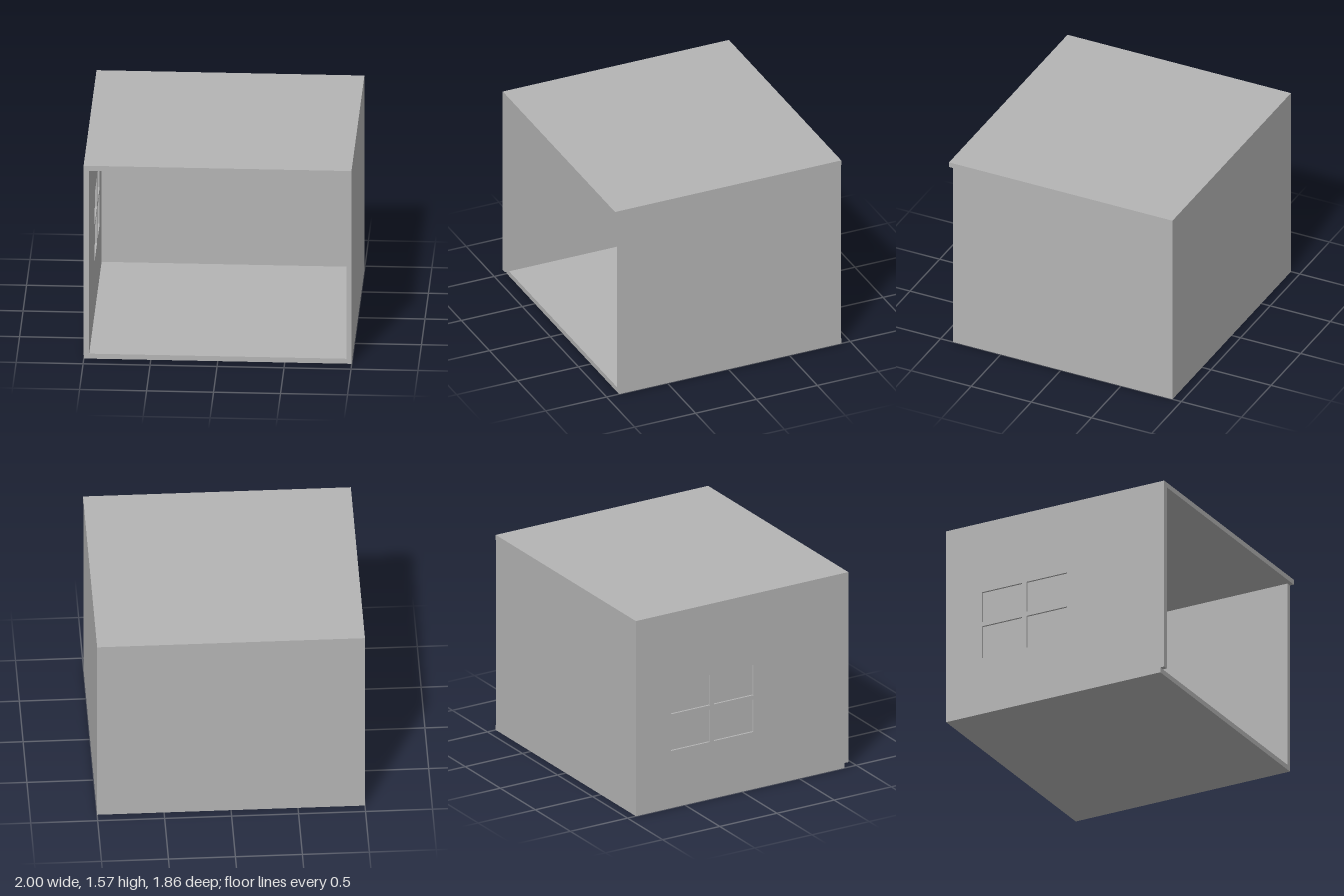
import * as THREE from 'three';

const T = 0.04; // wall thickness

function rect(target, x0, y0, x1, y1) {
  target.moveTo(x0, y0);
  target.lineTo(x1, y0);
  target.lineTo(x1, y1);
  target.lineTo(x0, y1);
  target.closePath();
  return target;
}

export function createModel() {
  const plaster = new THREE.MeshStandardMaterial({ color: 0xb4b4b4 });
  plaster.name = 'grey plaster';
  const room = new THREE.Group();
  room.name = 'room';

  function add(name, geometry) {
    const mesh = new THREE.Mesh(geometry, plaster);
    mesh.name = name;
    room.add(mesh);
    return mesh;
  }

  // Box given by its minimum and maximum corners
  function slab(name, [x0, y0, z0], [x1, y1, z1]) {
    add(name, new THREE.BoxGeometry(x1 - x0, y1 - y0, z1 - z0))
      .position.set((x0 + x1) / 2, (y0 + y1) / 2, (z0 + z1) / 2);
  }

  // Plain slabs; the floor and the solid wall stop just short of the front
  slab('floor', [-1, 0, -0.927], [1, T, 0.897]);
  slab('roof', [-1, 1.53, -0.927], [1, 1.57, 0.93]);
  slab('backWall', [-0.96, T, -0.927], [0.998, 1.53, -0.887]);
  slab('solidWall', [0.96, 0.036, -0.922], [1, 1.53, 0.897]);

  // Wall with a four-pane window: profile in (z, y), extruded towards -x
  const wall = rect(new THREE.Shape(), -0.927, T, 0.93, 1.53);
  for (const [z0, z1] of [[-0.62, -0.28], [-0.243, 0.1]]) {
    for (const [y0, y1] of [[0.46, 0.72], [0.755, 1.0]]) {
      wall.holes.push(rect(new THREE.Path(), z0, y0, z1, y1));
    }
  }
  const wallGeometry = new THREE.ExtrudeGeometry(wall, { depth: T, bevelEnabled: false });
  wallGeometry.rotateY(-Math.PI / 2);
  add('windowWall', wallGeometry).position.x = -0.96;

  // Pane recessed in the middle of the wall
  slab('windowPane', [-0.984, 0.455, -0.625], [-0.976, 1.005, 0.105]);

  return room;
}
